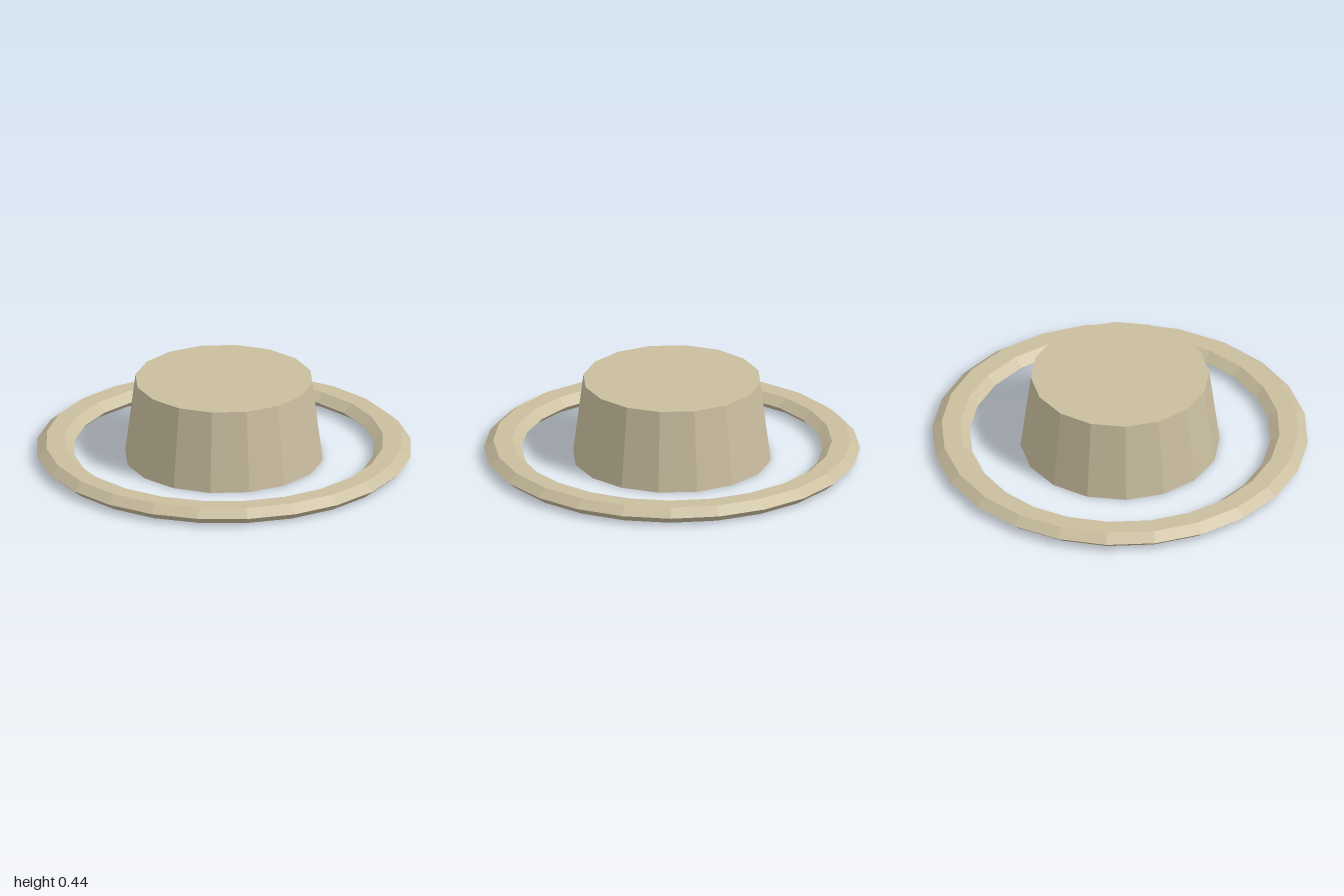
import * as THREE from 'three';

export function createModel() {
  const group = new THREE.Group();
  const material = new THREE.MeshStandardMaterial({ color: 0xcabe9f, flatShading: true });

  // Tapered centre drum with 16 sides
  const height = 0.44;
  const drum = new THREE.Mesh(new THREE.CylinderGeometry(0.475, 0.53, height, 16), material);
  drum.name = 'drum';
  drum.position.y = height / 2;
  group.add(drum);

  // Free-standing outer ring: flattened six-sided section, 24 segments
  const tube = 0.1, flatten = 0.5;
  const ringGeometry = new THREE.TorusGeometry(0.9, tube, 6, 24);
  ringGeometry.scale(1, 1, flatten);
  ringGeometry.rotateX(-Math.PI / 2);
  const ring = new THREE.Mesh(ringGeometry, material);
  ring.name = 'outerRing';
  ring.position.y = tube * flatten * Math.sin(Math.PI / 3);
  group.add(ring);

  return group;
}
